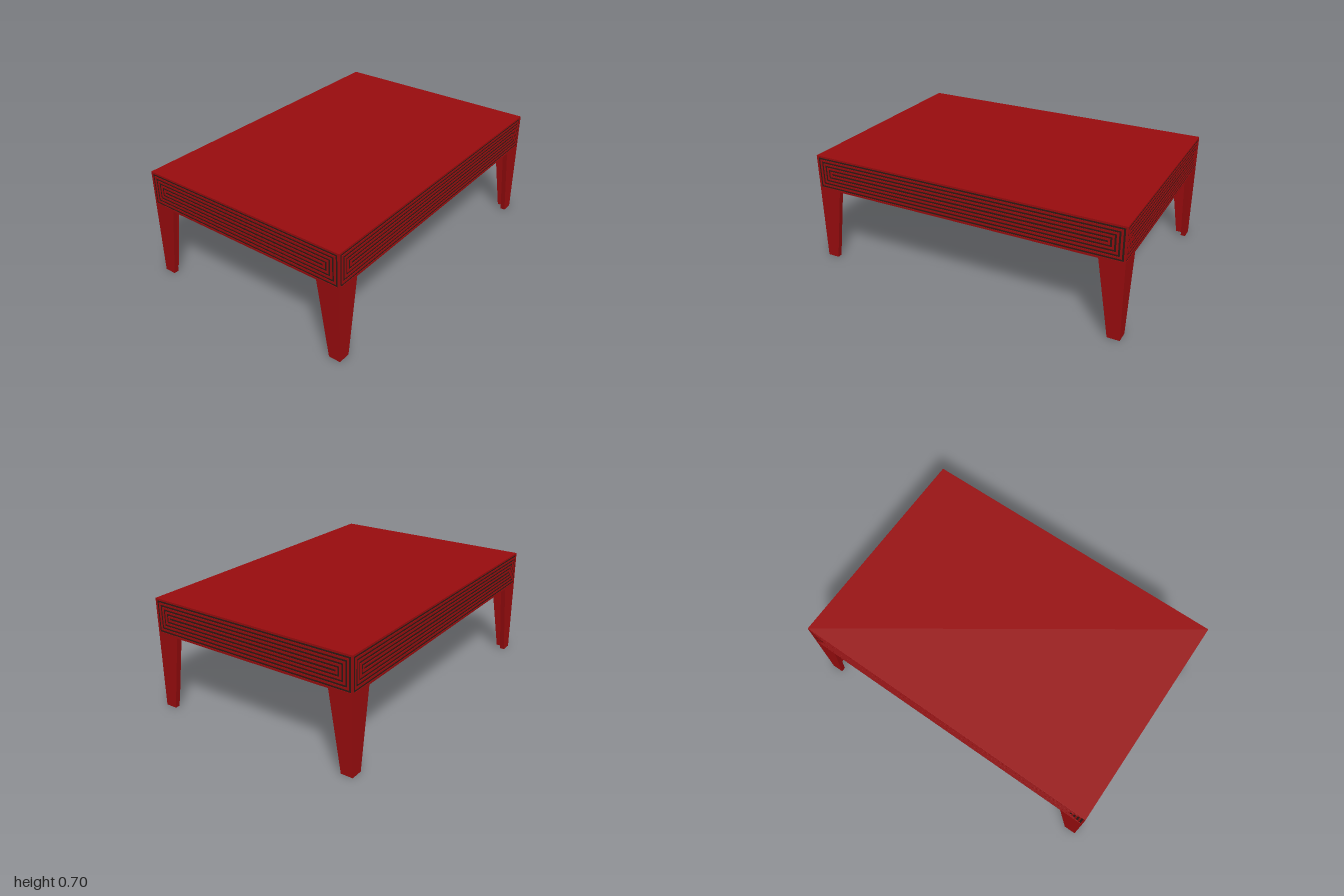
import * as THREE from 'three';

const W = 2, D = 1.38, TOP = 0.7, BOTTOM = 0.48;
const H = TOP - BOTTOM;
const BAND = 0.0115;   // width of each concentric stripe
const RELIEF = 0.003;  // how far the ridges stand out

const red = new THREE.MeshStandardMaterial({ color: 0x990c0e });
const dark = new THREE.MeshStandardMaterial({ color: 0x2b1b15 });

// Rectangle centred on the origin
function rectangle(w, h, Type = THREE.Shape) {
  const p = new Type();
  p.moveTo(-w / 2, -h / 2);
  p.lineTo(w / 2, -h / 2);
  p.lineTo(w / 2, h / 2);
  p.lineTo(-w / 2, h / 2);
  p.closePath();
  return p;
}

// Concentric raised frames for one side of the slab, facing +z
function ridgePanel(width) {
  const group = new THREE.Group();
  for (let i = 0; i < 5; i++) {
    const outer = 4 * i * BAND, inner = outer + 2 * BAND;
    const frame = rectangle(width - outer, H - outer);
    frame.holes.push(rectangle(width - inner, H - inner, THREE.Path));
    const ridge = new THREE.Mesh(
      new THREE.ExtrudeGeometry(frame, { depth: RELIEF, bevelEnabled: false }), red);
    ridge.name = 'ridge';
    group.add(ridge);
  }
  return group;
}

// Angled leg: two tapered plates meeting at the outer corner
function makeLeg() {
  const thickness = 0.03;
  const profile = new THREE.Shape([
    new THREE.Vector2(0, 0), new THREE.Vector2(0, BOTTOM),
    new THREE.Vector2(-0.15, BOTTOM), new THREE.Vector2(-0.075, 0),
  ]);
  const plate = new THREE.ExtrudeGeometry(profile, { depth: thickness, bevelEnabled: false });
  const leg = new THREE.Group();
  const along = new THREE.Mesh(plate, red);
  along.name = 'legPlateLong';
  along.position.z = -thickness;
  const across = new THREE.Mesh(plate, red);
  across.name = 'legPlateShort';
  across.rotation.y = -Math.PI / 2;
  leg.add(along, across);
  return leg;
}

export function createModel() {
  const model = new THREE.Group();
  model.name = 'lowTable';

  // Slab core: dark sides, red top and underside
  const core = new THREE.Mesh(
    new THREE.BoxGeometry(W - 2 * RELIEF, H, D - 2 * RELIEF),
    [dark, dark, red, red, dark, dark]);
  core.name = 'tableTop';
  core.position.y = BOTTOM + H / 2;
  model.add(core);

  // Striped panels on all four sides
  ['front', 'left', 'back', 'right'].forEach((side, i) => {
    const panel = ridgePanel(i % 2 ? D : W);
    const angle = i * Math.PI / 2;
    const reach = (i % 2 ? W : D) / 2 - RELIEF;
    panel.name = side + 'Panel';
    panel.rotation.y = angle;
    panel.position.set(Math.sin(angle) * reach, BOTTOM + H / 2, Math.cos(angle) * reach);
    model.add(panel);
  });

  // Legs at the four corners, each turned a quarter from the last
  [['frontLeftLeg', 1, 1], ['backLeftLeg', 1, -1], ['backRightLeg', -1, -1], ['frontRightLeg', -1, 1]]
    .forEach(([name, sx, sz], i) => {
      const leg = makeLeg();
      leg.name = name;
      leg.position.set(sx * W / 2, 0, sz * D / 2);
      leg.rotation.y = i * Math.PI / 2;
      model.add(leg);
    });

  return model;
}
